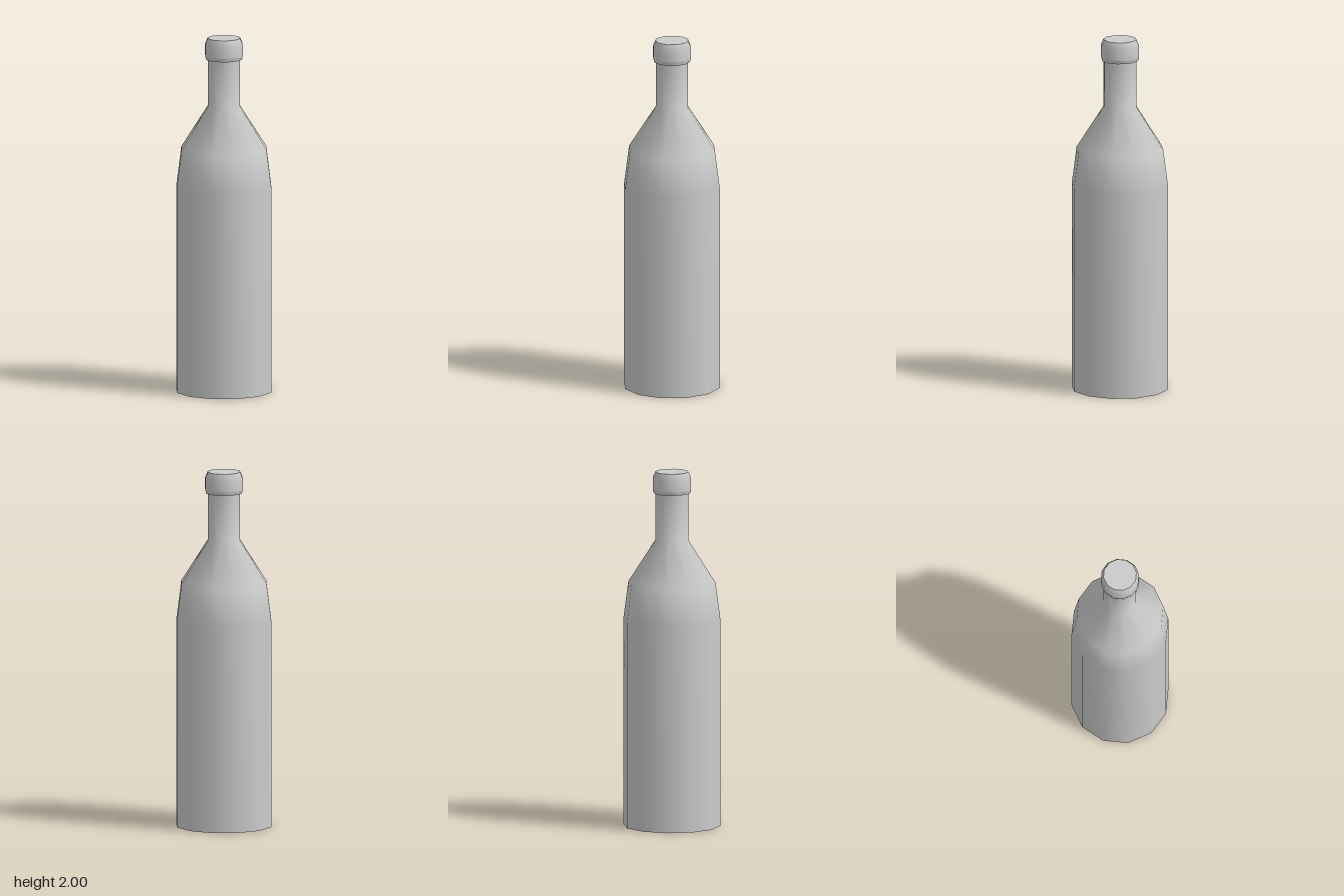
import * as THREE from 'three';

const SIDES = 12;

export function createModel() {
  const group = new THREE.Group();
  const material = new THREE.MeshStandardMaterial({ color: 0xcccccc });

  const add = (name, geometry) => {
    const mesh = new THREE.Mesh(geometry, material);
    mesh.name = name;
    group.add(mesh);
    return mesh;
  };
  // Smooth surface of revolution from [radius, height] pairs, bottom to top
  const turned = (name, profile) =>
    add(name, new THREE.LatheGeometry(profile.map(([r, y]) => new THREE.Vector2(r, y)), SIDES));
  // Flat end disc, its corners lined up with the turned parts
  const cap = (name, radius, y, facing) => {
    const disc = add(name, new THREE.CircleGeometry(radius, SIDES));
    disc.rotation.x = -facing * Math.PI / 2;
    disc.position.y = y;
  };

  // Body, shoulder and neck in one smooth skin
  turned('bottleBody', [[0.273, 0], [0.273, 1.16], [0.245, 1.375], [0.092, 1.615], [0.092, 1.88]]);
  cap('base', 0.273, 0, -1);

  // Lip: flat underside, bevelled lower edge, rounded band
  turned('lipUnderside', [[0.092, 1.88], [0.103, 1.88]]);
  turned('lipBevel', [[0.103, 1.88], [0.108, 1.9]]);
  turned('lipBand', [[0.108, 1.9], [0.108, 1.965], [0.093, 2]]);
  cap('top', 0.093, 2, 1);

  return group;
}
